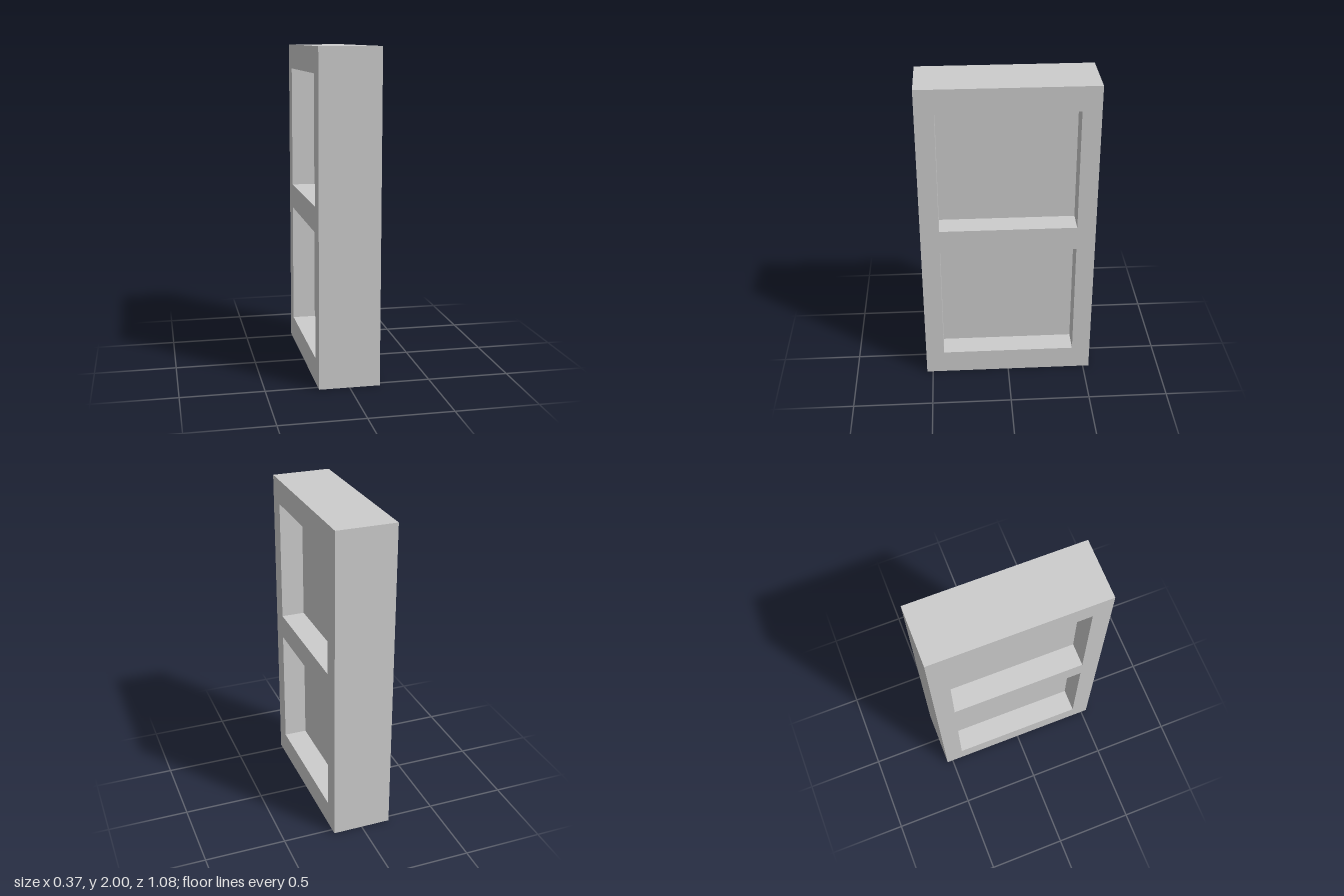
import * as THREE from 'three';

const WIDTH = 1.077, HEIGHT = 2, THICK = 0.369;
const OPEN_W = 0.846, OPEN_H = 0.769, PANEL_THICK = 0.074;
const OPEN_BOTTOMS = [0.154, 1.077];

// Rectangle outline, centred horizontally
function trace(path, w, y0, y1) {
  path.moveTo(-w / 2, y0);
  path.lineTo(w / 2, y0);
  path.lineTo(w / 2, y1);
  path.lineTo(-w / 2, y1);
  path.closePath();
  return path;
}

export function createModel() {
  const group = new THREE.Group();
  group.name = 'recessedPanelBlock';
  const grey = new THREE.MeshStandardMaterial({ color: 0xcccccc });
  grey.name = 'light grey';

  // Frame with two square openings, extruded across x
  const outline = trace(new THREE.Shape(), WIDTH, 0, HEIGHT);
  for (const y of OPEN_BOTTOMS) outline.holes.push(trace(new THREE.Path(), OPEN_W, y, y + OPEN_H));
  const frameGeo = new THREE.ExtrudeGeometry(outline, { depth: THICK, bevelEnabled: false });
  frameGeo.translate(0, 0, -THICK / 2).rotateY(Math.PI / 2);
  const frame = new THREE.Mesh(frameGeo, grey);
  frame.name = 'frame';
  group.add(frame);

  // Thin panels set in the middle, recessed from both sides
  OPEN_BOTTOMS.forEach((y, i) => {
    const panel = new THREE.Mesh(new THREE.BoxGeometry(PANEL_THICK, OPEN_H, OPEN_W), grey);
    panel.name = i ? 'upperPanel' : 'lowerPanel';
    panel.position.y = y + OPEN_H / 2;
    group.add(panel);
  });
  return group;
}
